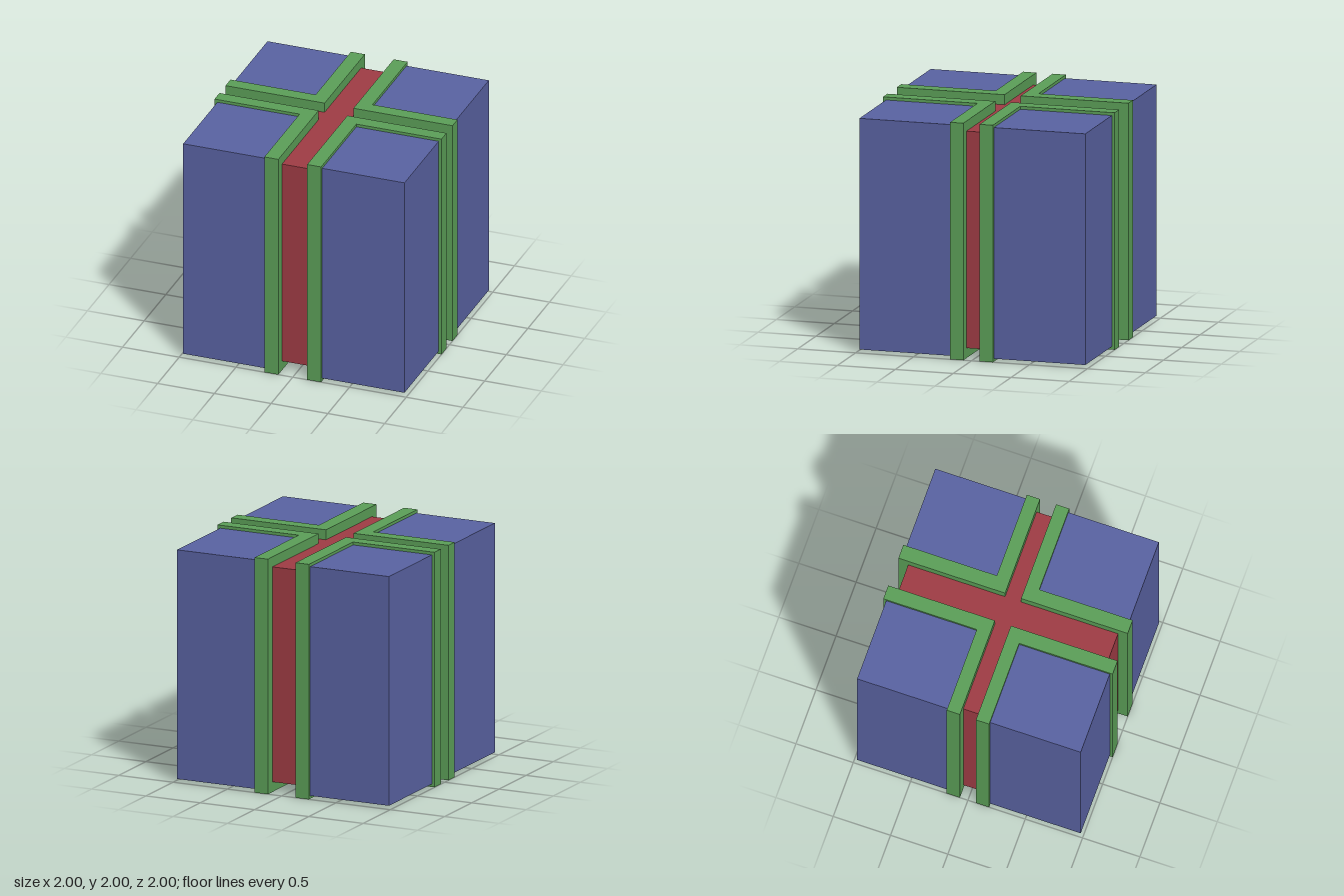
import * as THREE from 'three';

const blue = new THREE.MeshStandardMaterial({ color: 0x5a63a3 });
const green = new THREE.MeshStandardMaterial({ color: 0x5ca058 });
const red = new THREE.MeshStandardMaterial({ color: 0xa03c45 });

// Half-widths of the two slots, and the outer faces of the corner strips
const SLOT_X = 0.127, SLOT_Z = 0.07;
const STRIP_X = 0.25, STRIP_Z = 0.185;
const CORE = 0.915, BLOCK = 0.975;

// Upright prism from a plan outline of [x, z] points
function prism(name, points, y0, y1, material) {
  const shape = new THREE.Shape(points.map(([x, z]) => new THREE.Vector2(x, -z)));
  const geometry = new THREE.ExtrudeGeometry(shape, { depth: y1 - y0, bevelEnabled: false });
  geometry.rotateX(-Math.PI / 2).translate(0, y0, 0);
  const mesh = new THREE.Mesh(geometry, material);
  mesh.name = name;
  return mesh;
}

export function createModel() {
  const model = new THREE.Group();
  model.name = 'quarteredCube';

  // Cross-shaped core filling the slots
  const [a, b, c] = [SLOT_X, SLOT_Z, CORE];
  model.add(prism('crossCore', [
    [a, b], [a, c], [-a, c], [-a, b], [-c, b], [-c, -b],
    [-a, -b], [-a, -c], [a, -c], [a, -b], [c, -b], [c, b],
  ], 0.085, 1.915, red));

  for (const sx of [1, -1]) {
    for (const sz of [1, -1]) {
      const side = (sz > 0 ? 'front' : 'back') + (sx > 0 ? 'Left' : 'Right');
      const plan = (points) => points.map(([x, z]) => [x * sx, z * sz]);

      // L-shaped strip along the slots
      model.add(prism(side + 'Strip', plan([
        [SLOT_X, SLOT_Z], [1, SLOT_Z], [1, STRIP_Z],
        [STRIP_X, STRIP_Z], [STRIP_X, 1], [SLOT_X, 1],
      ]), 0, 2, green));

      // Corner block nested in the strip
      model.add(prism(side + 'Block', plan([
        [STRIP_X, STRIP_Z], [BLOCK, STRIP_Z], [BLOCK, BLOCK], [STRIP_X, BLOCK],
      ]), 0.025, 1.975, blue));
    }
  }
  return model;
}
